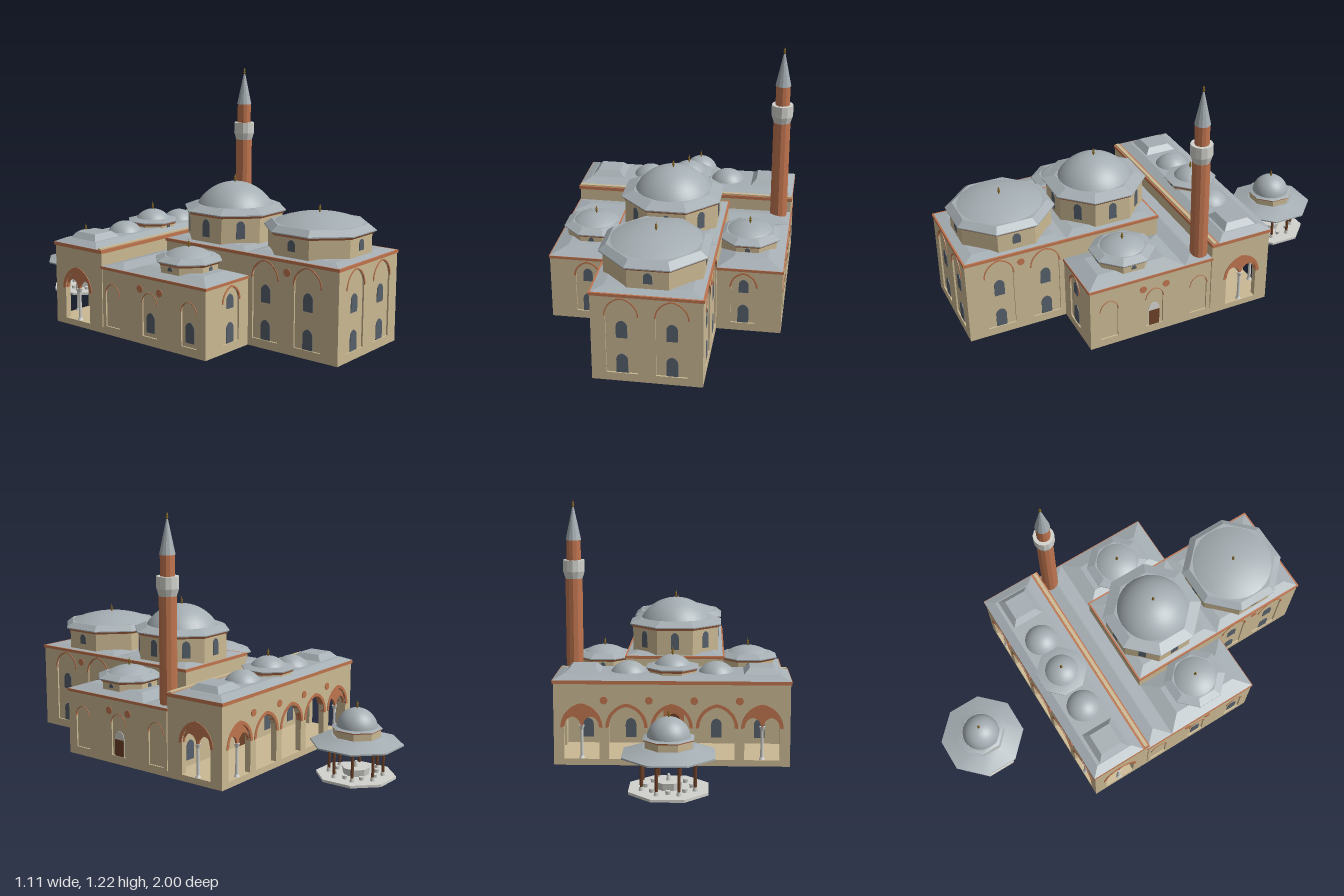
import * as THREE from 'three';
import { toCreasedNormals } from 'three/addons/utils/BufferGeometryUtils.js';

export function createModel() {
  const model = new THREE.Group();
  model.name = 'domedBuilding';
  const mat = (name, color) => {
    const m = new THREE.MeshStandardMaterial({ color });
    m.name = name;
    return m;
  };
  const stone = mat('stone', 0xcbb993), brick = mat('brick', 0xc0754f), lead = mat('lead', 0xa5aeb3),
    glass = mat('glass', 0x56606c), marble = mat('marble', 0xd2d2cd), wood = mat('wood', 0x6d4128),
    gold = mat('gold', 0x8a6a24);

  const add = (parent, name, geo, material, x = 0, y = 0, z = 0) => {
    const m = new THREE.Mesh(geo, material);
    m.name = name;
    m.position.set(x, y, z);
    parent.add(m);
    return m;
  };
  // box given by its limits
  const block = (name, material, x0, x1, y0, y1, z0, z1, parent = model) =>
    add(parent, name, new THREE.BoxGeometry(x1 - x0, y1 - y0, z1 - z0), material, (x0 + x1) / 2, (y0 + y1) / 2, (z0 + z1) / 2);
  // sloped roof: a box whose top is drawn inwards
  const hip = (name, x0, x1, z0, z1, y0, y1, inX, inZ = inX) => {
    const w = x1 - x0, d = z1 - z0, g = new THREE.BoxGeometry(w, y1 - y0, d), p = g.attributes.position;
    for (let i = 0; i < p.count; i++) if (p.getY(i) > 0) {
      p.setX(i, p.getX(i) * (1 - 2 * inX / w));
      p.setZ(i, p.getZ(i) * (1 - 2 * inZ / d));
    }
    const flat = g.toNonIndexed();
    flat.computeVertexNormals();
    add(model, name, flat, lead, (x0 + x1) / 2, (y0 + y1) / 2, (z0 + z1) / 2);
  };
  // eight-sided prism or frustum, sized by apothem, flat side to the front
  const octagon = (parent, name, material, a0, a1, y0, y1) => {
    const k = 1 / Math.cos(Math.PI / 8);
    const g = new THREE.CylinderGeometry(a1 * k, a0 * k, y1 - y0, 8).rotateY(Math.PI / 8);
    add(parent, name, toCreasedNormals(g, 0.3), material, 0, (y0 + y1) / 2, 0);
  };
  const cap = (parent, name, r, h, y, x = 0, z = 0) => {
    const R = (r * r + h * h) / (2 * h);
    const g = new THREE.SphereGeometry(R, 32, 10, 0, Math.PI * 2, 0, Math.acos((R - h) / R));
    add(parent, name, g.translate(0, h - R, 0), lead, x, y, z);
  };
  const finial = (parent, y, x = 0, z = 0) => {
    const pts = [[0.004, -0.004], [0.003, 0.005], [0.007, 0.011], [0.003, 0.017], [0.006, 0.023], [0.002, 0.028], [0.0001, 0.04]];
    add(parent, 'finial', new THREE.LatheGeometry(pts.map(p => new THREE.Vector2(...p)), 10), gold, x, y, z);
  };

  // pointed arch curve from left springing to right springing
  const archPts = (w, h, cx = 0, y = 0) => {
    const c = 0.1 * w, R = 0.6 * w, end = Math.acos(c / R), s = y + h - R * Math.sin(end), right = [];
    for (let i = 0; i <= 8; i++) right.push([-c + R * Math.cos(end * i / 8), s + R * Math.sin(end * i / 8)]);
    const left = right.map(([x, v]) => [-x, v]);
    return [...left, ...right.slice(0, 8).reverse()].map(([x, v]) => new THREE.Vector2(x + cx, v));
  };
  const opening = (w, h, cx, y) => [new THREE.Vector2(cx - w / 2, y), ...archPts(w, h, cx, y), new THREE.Vector2(cx + w / 2, y)];
  const extrude = (pts, depth, holes = []) => {
    const s = new THREE.Shape(pts);
    holes.forEach(h => s.holes.push(new THREE.Path(h)));
    return new THREE.ExtrudeGeometry(s, { depth, bevelEnabled: false });
  };
  // arched plate for windows and doors
  const plate = (parent, name, material, w, h, x, y, z = 0) =>
    add(parent, name, extrude(opening(w, h, x, y), 0.003), material, 0, 0, z);
  const roundel = (parent, x, y, z) =>
    add(parent, 'roundel', new THREE.CylinderGeometry(0.018, 0.018, 0.006, 20).rotateX(Math.PI / 2), brick, x, y, z);
  // wall with arched holes [x, y, w, h], each crowned by a brick band
  const wall = (name, w, h, t, pos, ry, holes, band) => {
    const g = new THREE.Group();
    g.name = name;
    g.position.set(...pos);
    g.rotation.y = ry;
    model.add(g);
    const rect = [[-w / 2, 0], [w / 2, 0], [w / 2, h], [-w / 2, h]].map(p => new THREE.Vector2(...p));
    add(g, name + 'Face', extrude(rect, t, holes.map(([x, y, a, b]) => opening(a, b, x, y))), stone);
    holes.forEach(([x, y, a, b]) => {
      const outer = archPts(a + 2 * band, b + band, x, y), inner = archPts(a, b, x, y).reverse();
      add(g, 'brickArch', extrude([...outer, ...inner], t + 0.003), brick);
    });
    return g;
  };

  // central hall
  const T = 0.008;
  block('hallCore', stone, -0.237, 0.237, 0, 0.42, 0.02, 0.988);
  block('hallUpperWall', stone, -0.245, 0.245, 0.3, 0.42, 0.015, 0.51);
  block('hallCornice', brick, -0.25, 0.25, 0.42, 0.434, 0.01, 1);
  hip('hallFrontRoof', -0.242, 0.242, 0.49, 0.992, 0.434, 0.446, 0.05);
  hip('hallRearRoof', -0.242, 0.242, 0.018, 0.49, 0.434, 0.446, 0.05);
  const hallWindows = (g, x) => {
    plate(g, 'lowerWindow', glass, 0.052, 0.095, x, 0.04);
    plate(g, 'upperWindow', glass, 0.05, 0.085, x, 0.215);
  };
  const front = wall('hallFront', 0.49, 0.42, T, [0, 0, 0.988], 0, [-0.11, 0.11].map(x => [x, 0.04, 0.14, 0.37]), 0.006);
  [-0.11, 0.11].forEach(x => hallWindows(front, x));

  for (const s of [1, -1]) {
    // hall flank
    const xs = [0.835, 0.605].map(z => -s * (z - 0.753));
    const flank = wall('hallSide', 0.486, 0.42, T, [s * 0.237, 0, 0.753], s * Math.PI / 2, xs.map(x => [x, 0.04, 0.14, 0.37]), 0.006);
    xs.forEach(x => hallWindows(flank, x));
    roundel(flank, -s * (0.725 - 0.753), 0.375, T);

    // wing front
    const wf = wall('wingFront', 0.305, 0.315, T, [s * 0.3975, 0, 0.502], 0, [[-s * 0.0275, 0.04, 0.115, 0.26]], 0.008);
    plate(wf, 'lowerWindow', glass, 0.052, 0.095, -s * 0.0275, 0.04);
    plate(wf, 'upperWindow', glass, 0.045, 0.067, -s * 0.0275, 0.2);

    // wing side, with a door on one side and windows on the other
    const zs = [0.415, 0.18, -0.055].map(z => -s * (z - 0.195));
    const ws = wall('wingSide', 0.63, 0.315, T, [s * 0.542, 0, 0.195], s * Math.PI / 2, zs.map(x => [x, 0.04, 0.09, 0.21]), 0.003);
    [0.24, 0.12].forEach(z => roundel(ws, -s * (z - 0.195), 0.26, T));
    if (s > 0) {
      plate(ws, 'doorHead', marble, 0.056, 0.125, zs[1], 0.04);
      block('sideDoor', wood, zs[1] - 0.027, zs[1] + 0.027, 0.04, 0.122, 0.001, 0.006, ws);
    } else zs.slice(0, 2).forEach(x => plate(ws, 'wingWindow', glass, 0.05, 0.095, x, 0.06));

    hip('wingRoof', Math.min(s * 0.245, s * 0.55), Math.max(s * 0.245, s * 0.55), 0.02, 0.512, 0.328, 0.355, 0.075);
  }
  block('wingCore', stone, -0.542, 0.542, 0, 0.315, -0.13, 0.502);
  block('wingCornice', brick, -0.554, 0.554, 0.315, 0.328, -0.13, 0.515);
  hip('rearStripRoof', -0.55, 0.55, -0.125, 0.02, 0.328, 0.345, 0.07, 0.068);

  // octagonal drums with domes
  const dome = (name, x, z, o) => {
    const g = new THREE.Group();
    g.name = name;
    g.position.set(x, 0, z);
    model.add(g);
    octagon(g, 'drum', stone, o.drum, o.drum, o.y, o.top);
    octagon(g, 'drumCornice', brick, o.drum + 0.004, o.eave - 0.004, o.top, o.top + 0.012);
    octagon(g, 'eave', lead, o.eave, o.eave, o.top + 0.012, o.top + 0.017);
    octagon(g, 'skirtRoof', lead, o.eave, o.r, o.top + 0.017, o.base);
    cap(g, 'dome', o.r, o.h, o.base - 0.002);
    finial(g, o.base + o.h - 0.002, 0, 0);
    for (let i = 0; i < 8; i += o.step || 9) {
      const side = new THREE.Group();
      side.name = 'drumWindow';
      side.rotation.y = i * Math.PI / 4;
      g.add(side);
      plate(side, 'drumGlass', glass, o.win[0], o.win[1], 0, o.win[2], o.drum - 0.001);
    }
    return g;
  };
  dome('mainDome', 0, 0.24, { y: 0.43, drum: 0.218, top: 0.562, eave: 0.234, r: 0.18, base: 0.602, h: 0.104, step: 1, win: [0.04, 0.085, 0.465] });
  dome('frontDome', 0, 0.73, { y: 0.43, drum: 0.222, top: 0.53, eave: 0.24, r: 0.208, base: 0.573, h: 0.043, step: 2, win: [0.04, 0.052, 0.468] });
  for (const s of [1, -1])
    dome('wingDome', s * 0.375, 0.265, { y: 0.33, drum: 0.13, top: 0.38, eave: 0.148, r: 0.11, base: 0.416, h: 0.034, step: 2, win: [0.025, 0.02, 0.357] });
  dome('porticoDome', 0, -0.3, { y: 0.41, drum: 0.108, top: 0.432, eave: 0.122, r: 0.085, base: 0.46, h: 0.045, step: 9, win: [0.02, 0.02, 0.42] });

  // portico
  block('porticoFloor', stone, -0.55, 0.55, 0, 0.03, -0.44, -0.12);
  block('porticoInnerWall', stone, -0.55, 0.55, 0, 0.388, -0.152, -0.125);
  block('porticoCeiling', stone, -0.52, 0.52, 0.372, 0.387, -0.41, -0.15);
  block('porticoCornice', brick, -0.556, 0.556, 0.387, 0.404, -0.446, -0.122);
  block('porticoParapet', stone, -0.55, 0.55, 0.404, 0.41, -0.148, -0.13);
  hip('porticoRoof', -0.554, 0.554, -0.446, -0.158, 0.404, 0.424, 0.045);
  for (const s of [1, -1]) {
    hip('porticoVault', s * 0.42 - 0.09, s * 0.42 + 0.09, -0.39, -0.21, 0.418, 0.452, 0.033);
    cap(model, 'porticoSmallDome', 0.085, 0.05, 0.421, s * 0.207, -0.3);
  }
  // twin arches under a brick tympanum, carried by a slim column
  const twinArch = (g, x, w, h) => {
    const sub = c => archPts(0.45 * w, 0.2, c, 0.03).reverse();
    const outer = archPts(w, h, 0, 0.03);
    add(g, 'tympanum', extrude([...outer, ...sub(0.26 * w), ...sub(-0.26 * w)], 0.012), brick, x, 0, 0.009);
    add(g, 'column', new THREE.CylinderGeometry(0.007, 0.008, 0.14, 12), marble, x, 0.1, 0.015);
    add(g, 'columnCapital', new THREE.CylinderGeometry(0.014, 0.008, 0.02, 12), marble, x, 0.178, 0.015);
    add(g, 'columnBase', new THREE.CylinderGeometry(0.009, 0.014, 0.012, 12), marble, x, 0.036, 0.015);
  };
  const bays = [-0.42, -0.21, 0, 0.21, 0.42];
  const arcade = wall('arcade', 1.1, 0.388, 0.03, [0, 0, -0.41], Math.PI, bays.map(x => [x, 0.03, 0.165, 0.25]), 0.016);
  [-0.42, 0.42].forEach(x => twinArch(arcade, x, 0.165, 0.25));
  [-0.315, -0.105, 0.105, 0.315].forEach(x => roundel(arcade, x, 0.31, 0.031));
  for (const s of [1, -1]) {
    const end = wall('porticoEnd', 0.262, 0.388, 0.03, [s * 0.52, 0, -0.28], s * Math.PI / 2, [[s * 0.012, 0.03, 0.165, 0.25]], 0.016);
    twinArch(end, s * 0.012, 0.165, 0.25);
  }
  const inner = new THREE.Group();
  inner.name = 'porticoDoorAndWindows';
  inner.position.z = -0.152;
  inner.rotation.y = Math.PI;
  model.add(inner);
  plate(inner, 'doorSurround', brick, 0.1, 0.21, 0, 0.03);
  plate(inner, 'mainDoor', wood, 0.065, 0.15, 0, 0.03, 0.002);
  [-0.42, -0.21, 0.21, 0.42].forEach(x => {
    plate(inner, 'porticoWindow', glass, 0.052, 0.095, x, 0.06);
    plate(inner, 'porticoUpperWindow', glass, 0.045, 0.07, x, 0.225);
  });

  // tower
  const tower = new THREE.Group();
  tower.name = 'tower';
  tower.position.set(0.49, 0, -0.083);
  model.add(tower);
  const ring = (name, material, r0, r1, y0, y1) =>
    add(tower, name, toCreasedNormals(new THREE.CylinderGeometry(r1, r0, y1 - y0, 12), 0.3), material, 0, (y0 + y1) / 2, 0);
  ring('shaft', brick, 0.042, 0.042, 0.32, 0.845);
  ring('balconyCorbel', marble, 0.042, 0.053, 0.837, 0.872);
  ring('balcony', marble, 0.053, 0.053, 0.872, 0.928);
  ring('upperShaft', brick, 0.035, 0.035, 0.92, 1.025);
  ring('spire', lead, 0.038, 0.004, 1.025, 1.185);
  finial(tower, 1.182);

  // fountain
  const fountain = new THREE.Group();
  fountain.name = 'fountain';
  fountain.position.z = -0.8;
  model.add(fountain);
  octagon(fountain, 'fountainFloor', marble, 0.172, 0.172, 0, 0.012);
  octagon(fountain, 'basin', marble, 0.055, 0.06, 0.012, 0.045);
  add(fountain, 'spout', new THREE.CylinderGeometry(0.006, 0.012, 0.03, 10), marble, 0, 0.058, 0);
  for (let i = 0; i < 8; i++) {
    const a = (i + 0.5) * Math.PI / 4, x = Math.sin(a), z = Math.cos(a);
    add(fountain, 'post', new THREE.CylinderGeometry(0.007, 0.007, 0.13, 8), wood, 0.125 * x, 0.09, 0.125 * z);
    add(fountain, 'postCapital', new THREE.CylinderGeometry(0.017, 0.007, 0.02, 8), wood, 0.125 * x, 0.14, 0.125 * z);
    add(fountain, 'postBase', new THREE.CylinderGeometry(0.009, 0.012, 0.018, 8), marble, 0.125 * x, 0.02, 0.125 * z);
    const b = i * Math.PI / 4;
    add(fountain, 'stool', new THREE.CylinderGeometry(0.012, 0.01, 0.016, 8), marble, 0.1 * Math.sin(b), 0.02, 0.1 * Math.cos(b));
    const beam = add(fountain, 'beam', new THREE.BoxGeometry(0.1, 0.014, 0.012), wood, 0.1155 * Math.sin(b), 0.153, 0.1155 * Math.cos(b));
    beam.rotation.y = b;
  }
  octagon(fountain, 'canopyEave', lead, 0.2, 0.2, 0.158, 0.165);
  octagon(fountain, 'canopyRoof', lead, 0.2, 0.112, 0.165, 0.196);
  octagon(fountain, 'fountainDrum', stone, 0.102, 0.102, 0.19, 0.228);
  octagon(fountain, 'fountainCornice', brick, 0.106, 0.108, 0.228, 0.234);
  octagon(fountain, 'fountainDrumRoof', lead, 0.11, 0.095, 0.234, 0.24);
  cap(fountain, 'fountainDome', 0.095, 0.087, 0.238);
  finial(fountain, 0.323);
  return model;
}
